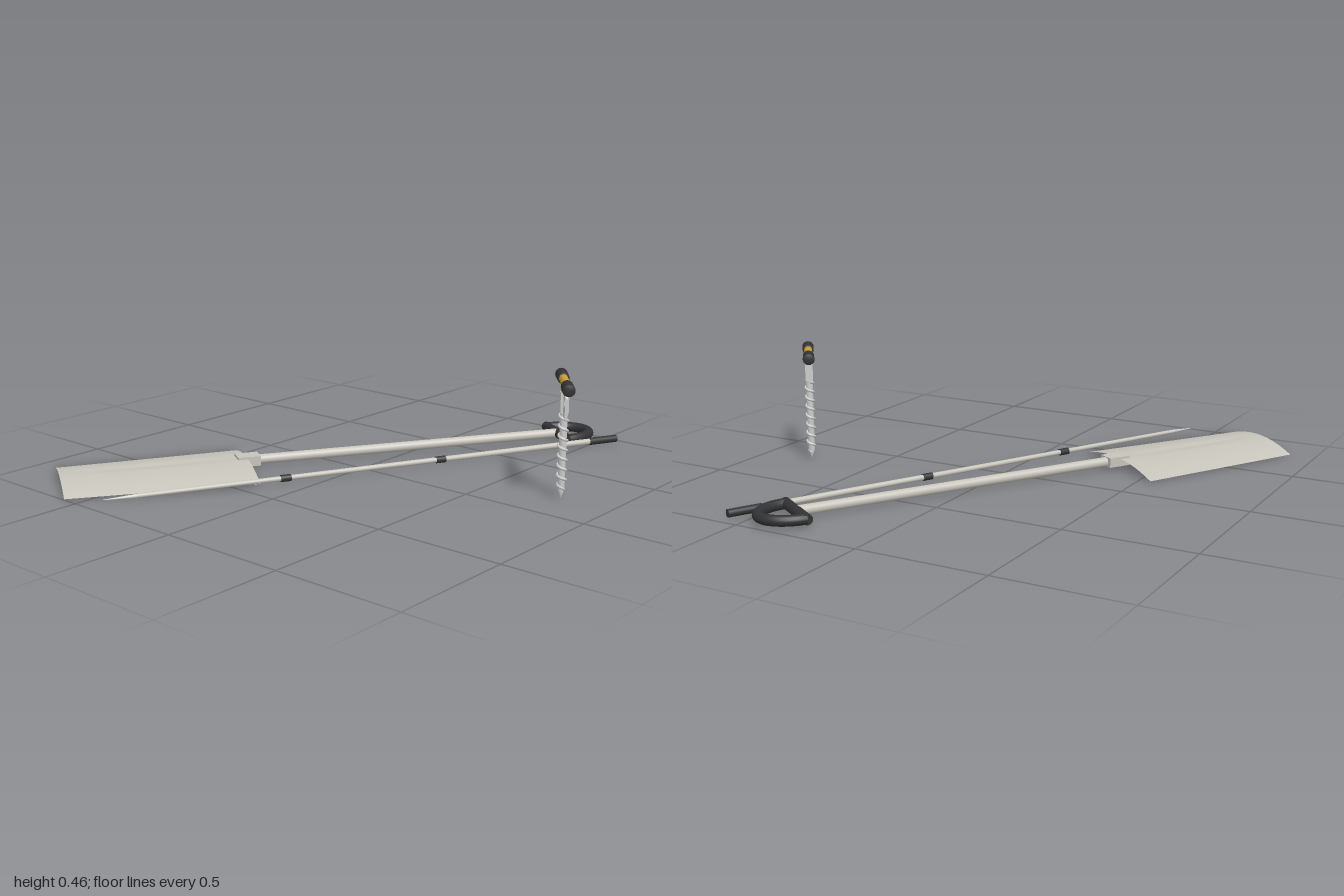
import * as THREE from 'three';

const paint = (color) => new THREE.MeshStandardMaterial({ color, side: THREE.DoubleSide });
const steel = paint(0xcccccc);
const alloy = paint(0xc6c3ba);
const rubber = paint(0x333335);
const gold = paint(0xd0a030);

function add(parent, name, geometry, material, x = 0, y = 0, z = 0) {
  const mesh = new THREE.Mesh(geometry, material);
  mesh.name = name;
  mesh.position.set(x, y, z);
  parent.add(mesh);
  return mesh;
}

// Round bar lying along local x from x0 (radius r0) to x1 (radius r1)
function bar(parent, name, material, x0, x1, r0, r1, y, sides = 20) {
  const g = new THREE.CylinderGeometry(r1, r0, x1 - x0, sides);
  g.rotateZ(-Math.PI / 2);
  return add(parent, name, g, material, (x0 + x1) / 2, y, 0);
}

function shovel() {
  const g = new THREE.Group();
  g.name = 'shovel';

  // Arched thin blade, narrower at the tip, with a shallow central groove
  const blade = new THREE.PlaneGeometry(1, 2, 24, 48);
  const p = blade.attributes.position;
  for (let i = 0; i < p.count; i++) {
    const t = 0.5 - p.getX(i); // 0 at the socket, 1 at the tip
    const s = p.getY(i);
    const half = THREE.MathUtils.lerp(0.235, 0.2, t);
    const fade = Math.sin(Math.PI * Math.min(1, Math.max(0, t)));
    const groove = 0.005 * fade * Math.exp(-((s / 0.13) ** 2));
    p.setXYZ(i, -0.72 * t, 0.004 + 0.039 * (1 - s * s) - groove, -s * half);
  }
  blade.computeVertexNormals();
  add(g, 'blade', blade, alloy);

  add(g, 'socket', new THREE.BoxGeometry(0.09, 0.038, 0.066), alloy, 0.005, 0.032, 0);
  bar(g, 'shaft', alloy, 0.03, 1.335, 0.019, 0.019, 0.03);

  // D-shaped grip: cross bar and bow
  const cross = new THREE.CylinderGeometry(0.02, 0.02, 0.225, 20);
  cross.rotateX(Math.PI / 2);
  add(g, 'gripBar', cross, rubber, 1.335, 0.03, 0);
  const pts = [];
  for (let i = 0; i <= 16; i++) {
    const a = -Math.PI / 2 + (Math.PI * i) / 16;
    pts.push(new THREE.Vector3(1.335 + 0.135 * Math.cos(a), 0.03, 0.1 * Math.sin(a)));
  }
  add(g, 'gripBow', new THREE.TubeGeometry(new THREE.CatmullRomCurve3(pts), 48, 0.02, 16), rubber);

  g.position.set(-0.285, 0, -0.35);
  g.rotation.y = -0.558;
  return g;
}

function probe() {
  const g = new THREE.Group();
  g.name = 'probe';
  const y = 0.02;
  bar(g, 'probeTip', steel, 0, 0.12, 0.001, 0.008, y);
  bar(g, 'lowerSection', alloy, 0.12, 0.69, 0.008, 0.0095, y);
  bar(g, 'middleSection', alloy, 0.69, 1.335, 0.0095, 0.0105, y);
  bar(g, 'upperSection', alloy, 1.335, 2.03, 0.0105, 0.012, y);
  for (const x of [0.69, 1.335]) bar(g, 'joint', rubber, x - 0.02, x + 0.02, 0.0135, 0.0135, y);
  bar(g, 'probeHandle', rubber, 2.015, 2.143, 0.015, 0.015, y);
  g.position.set(-0.945, 0, -0.41);
  g.rotation.y = -0.474;
  return g;
}

function iceScrew() {
  const g = new THREE.Group();
  g.name = 'iceScrew';

  // Pointed core
  const profile = [[0, 0], [0.013, 0.035], [0.014, 0.33], [0, 0.33]];
  add(g, 'core', new THREE.LatheGeometry(profile.map(([r, y]) => new THREE.Vector2(r, y)), 20), steel);

  // Helical thread
  const turns = 8;
  const pts = [];
  for (let i = 0; i <= turns * 12; i++) {
    const a = (i / 12) * Math.PI * 2;
    const r = 0.015 * Math.min(1, 0.5 + i / 24);
    pts.push(new THREE.Vector3(r * Math.cos(a), 0.025 + (0.295 * i) / (turns * 12), r * Math.sin(a)));
  }
  add(g, 'thread', new THREE.TubeGeometry(new THREE.CatmullRomCurve3(pts), turns * 32, 0.0055, 8), steel);

  // Head and hanger plate with its eye
  add(g, 'head', new THREE.BoxGeometry(0.034, 0.075, 0.03), steel, 0, 0.36, 0);
  const plate = new THREE.Shape();
  plate.moveTo(-0.07, 0.315);
  plate.lineTo(-0.005, 0.315);
  plate.lineTo(-0.005, 0.4);
  plate.lineTo(-0.055, 0.4);
  plate.quadraticCurveTo(-0.07, 0.4, -0.07, 0.385);
  plate.closePath();
  const eye = new THREE.Path();
  eye.absellipse(-0.043, 0.372, 0.013, 0.016, 0, Math.PI * 2, true);
  plate.holes.push(eye);
  const hanger = new THREE.ExtrudeGeometry(plate, { depth: 0.01, bevelEnabled: false, curveSegments: 16 });
  add(g, 'hanger', hanger, steel, 0, 0, -0.005);

  // Cross handle with two grips
  add(g, 'stem', new THREE.CylinderGeometry(0.014, 0.014, 0.04, 20), gold, 0, 0.415, 0);
  bar(g, 'crossBar', gold, -0.08, 0.08, 0.016, 0.016, 0.434);
  for (const side of [-1, 1]) {
    const grip = new THREE.LatheGeometry(
      [[0, -0.04], [0.019, -0.04], [0.022, -0.035], [0.023, 0.034], [0.019, 0.04], [0, 0.04]]
        .map(([r, y]) => new THREE.Vector2(r, y)), 20);
    grip.rotateZ((-side * Math.PI) / 2);
    add(g, 'handleGrip', grip, rubber, side * 0.097, 0.434, 0);
  }

  g.position.set(0.185, 0, 0.79);
  g.rotation.y = 0.66;
  return g;
}

export function createModel() {
  const model = new THREE.Group();
  model.name = 'snowToolSet';
  model.add(shovel(), probe(), iceScrew());
  return model;
}
